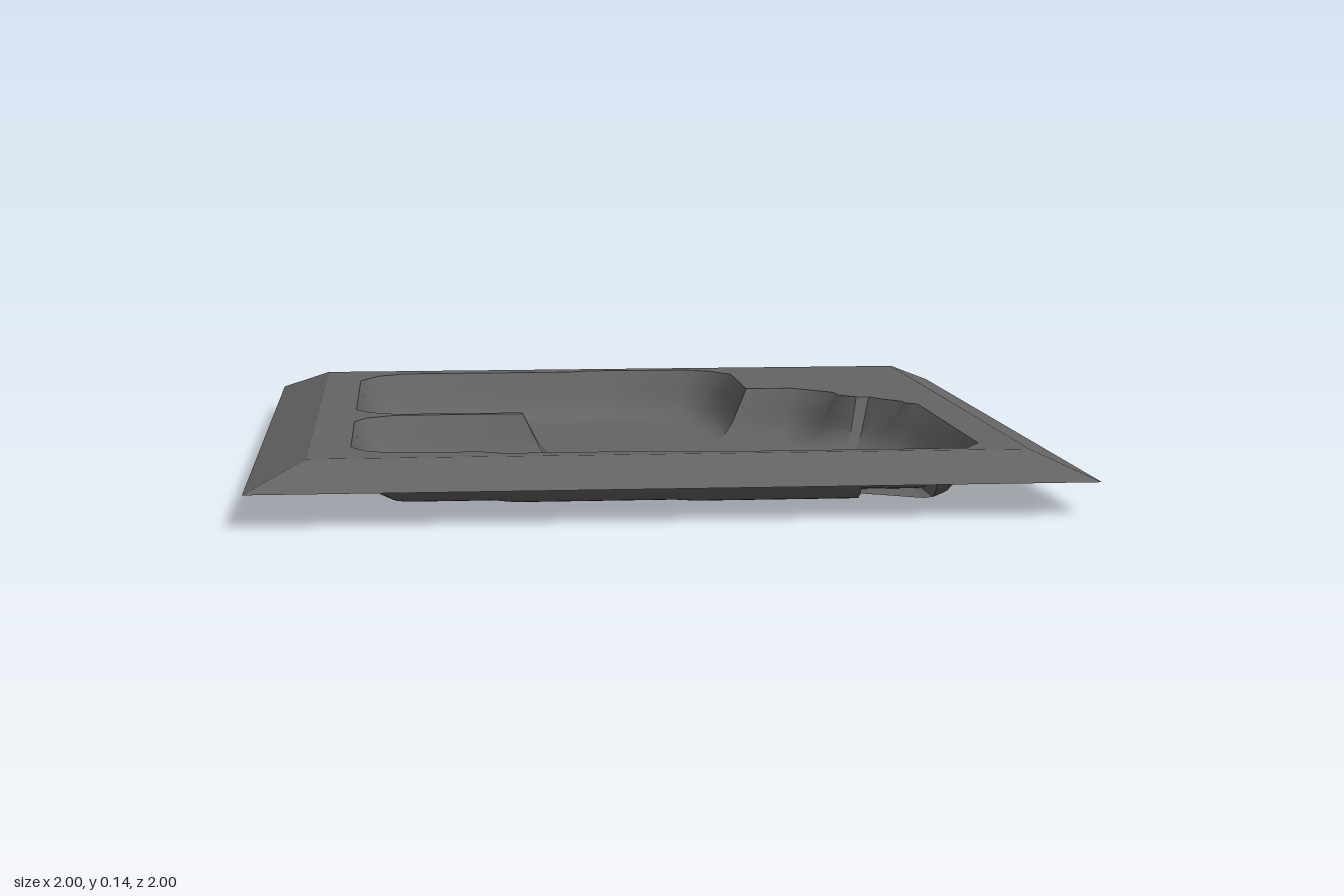
import * as THREE from 'three';
import { toCreasedNormals } from 'three/addons/utils/BufferGeometryUtils.js';

const TOP = 0.14, EDGE = 0.08, INSET = 0.86;
const RAMP_L = 0.47, RAMP_R = 0.655, RIM_Z = 0.83;

// Basin rim as [x, z], running from one side of the ramp round to the other
const rim = [
  [RAMP_L, RIM_Z], [0.05, 0.83], [0, 0.81], [-0.4, 0.81], [-0.45, 0.78], [-0.65, 0.78],
  [-0.72, 0.75], [-0.76, 0.68], [-0.76, 0.235], [-0.73, 0.17], [-0.655, 0.125],
  [-0.32, 0.125], [-0.32, 0.1], [-0.655, 0.1], [-0.725, 0.06], [-0.76, 0],
  [-0.76, -0.63], [-0.71, -0.74], [-0.63, -0.79], [-0.14, -0.79], [-0.08, -0.815],
  [0.21, -0.815], [0.29, -0.77], [0.34, -0.69], [0.34, -0.345], [0.47, -0.345],
  [0.575, -0.24], [0.575, -0.19], [0.62, -0.135], [0.655, -0.135], [0.68, -0.09],
  [0.73, -0.03], [0.73, 0], [0.76, 0.03], [0.76, 0.75], [0.715, 0.83], [RAMP_R, RIM_Z],
];
// Wall section as [distance inwards, height]
const wall = [[0, TOP], [0.03, 0.08], [0.045, 0.05], [0.07, 0.02], [0.1, 0.005], [0.125, 0]];
// Ramp section as [z, height]
const ramp = [[RIM_Z, TOP], [0.75, 0.085], [0.69, 0.042], [0.63, 0.012], [0.57, 0]];

// Inward mitre direction at each rim point
const edgeNormals = rim.slice(1).map(([x, z], i) => {
  const dx = x - rim[i][0], dz = z - rim[i][1], l = Math.hypot(dx, dz);
  return [-dz / l, dx / l];
});
const mitres = rim.map((_, i) => {
  const a = edgeNormals[Math.max(i - 1, 0)];
  const b = edgeNormals[Math.min(i, edgeNormals.length - 1)];
  const k = 1 + a[0] * b[0] + a[1] * b[1];
  return [(a[0] + b[0]) / k, (a[1] + b[1]) / k];
});
const inset = (d) => rim.map(([x, z], i) => [x + mitres[i][0] * d, z + mitres[i][1] * d]);

// Surface through rows of [x, y, z] points
function loft(rows, crease = 0.75) {
  const pos = [];
  for (let j = 0; j < rows.length - 1; j++) {
    for (let i = 0; i < rows[j].length - 1; i++) {
      const a = rows[j][i], b = rows[j][i + 1], c = rows[j + 1][i], d = rows[j + 1][i + 1];
      pos.push(...a, ...c, ...b, ...b, ...c, ...d);
    }
  }
  const g = new THREE.BufferGeometry();
  g.setAttribute('position', new THREE.Float32BufferAttribute(pos, 3));
  return toCreasedNormals(g, crease);
}

// Flat horizontal sheet from an [x, z] outline
const outline = (pts) => pts.map(([x, z]) => new THREE.Vector2(x, -z));
function sheet(pts, y, hole) {
  const s = new THREE.Shape(outline(pts));
  if (hole) s.holes.push(new THREE.Path(outline(hole)));
  return new THREE.ShapeGeometry(s).rotateX(-Math.PI / 2).translate(0, y, 0);
}

export function createModel() {
  const group = new THREE.Group();
  const grey = new THREE.MeshStandardMaterial({ color: 0x646464, side: THREE.DoubleSide });
  grey.name = 'dark grey';
  const add = (name, geometry) => {
    const m = new THREE.Mesh(geometry, grey);
    m.name = name;
    group.add(m);
  };

  // Flat deck with the basin cut out, and its sloping border
  const square = (s) => [[s, s], [-s, s], [-s, -s], [s, -s]];
  add('deck', sheet(square(INSET), TOP, rim));
  const ring = (s, y) => [...square(s), [s, s]].map(([x, z]) => [x, y, z]);
  add('border', loft([ring(1, EDGE), ring(INSET, TOP)], 0.1));

  // Curved basin wall and floor
  add('basinWall', loft(wall.map(([d, y]) => inset(d).map(([x, z]) => [x, y, z]))));
  const rampFoot = ramp[ramp.length - 1][0];
  add('basinFloor', sheet(
    [...inset(wall[wall.length - 1][0]), [RAMP_R, rampFoot], [RAMP_L, rampFoot]], 0));

  // Ramp with an upright cheek on each side
  add('ramp', loft(ramp.map(([z, y]) => [[RAMP_R, y, z], [RAMP_L, y, z]])));
  const cheek = new THREE.Shape([
    ...wall.map(([d, y]) => new THREE.Vector2(-(RIM_Z - d), y)),
    ...ramp.slice(1).reverse().map(([z, y]) => new THREE.Vector2(-z, y)),
  ]);
  for (const [name, x] of [['rampCheekRight', RAMP_L], ['rampCheekLeft', RAMP_R]]) {
    add(name, new THREE.ShapeGeometry(cheek).rotateY(Math.PI / 2).translate(x, 0, 0));
  }
  return group;
}
